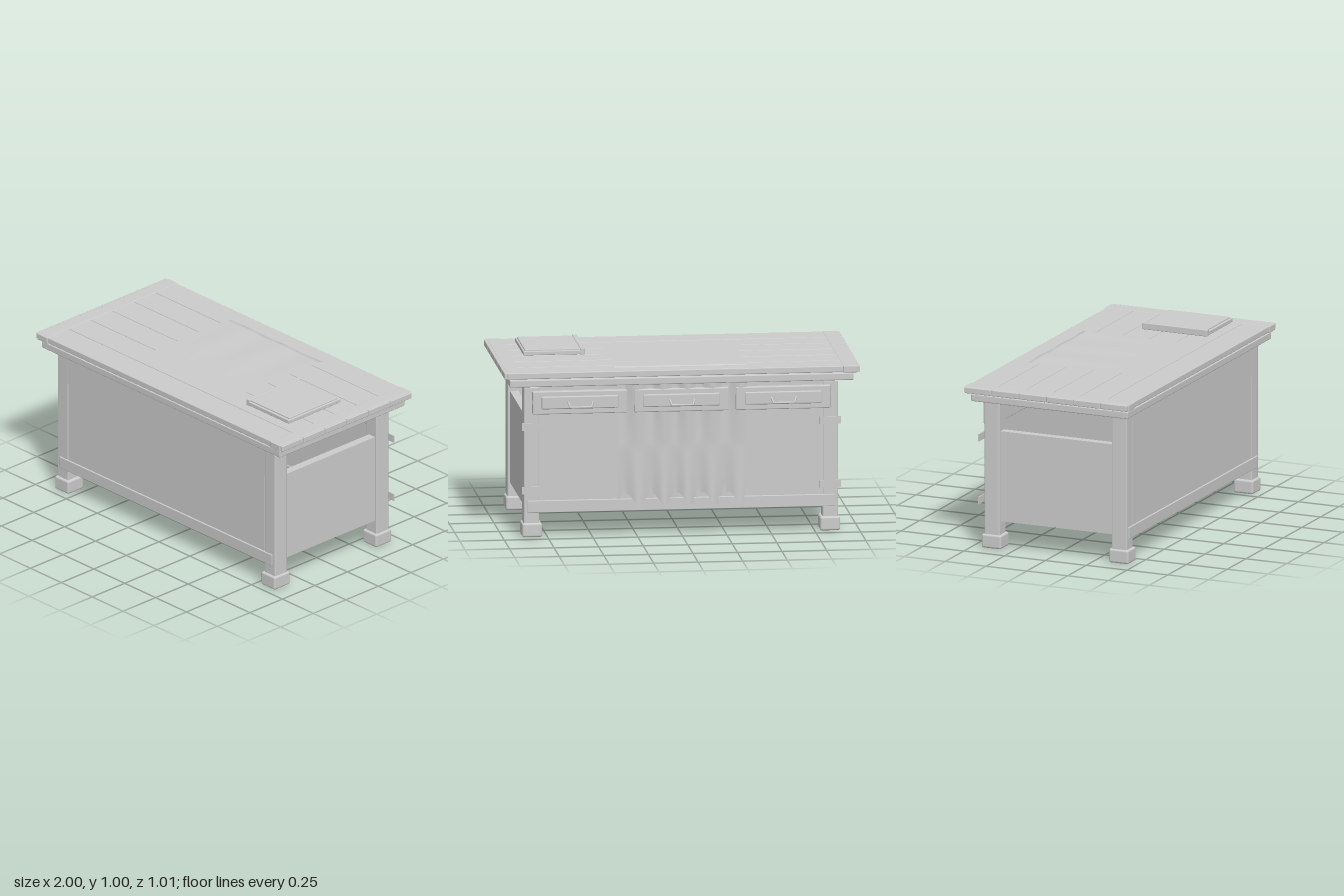
import * as THREE from 'three';
import { RoundedBoxGeometry } from 'three/addons/geometries/RoundedBoxGeometry.js';

const material = new THREE.MeshStandardMaterial({ color: 0xcccccc });
const clothMaterial = new THREE.MeshStandardMaterial({ color: 0xcccccc, side: THREE.DoubleSide });

export function createModel() {
  const model = new THREE.Group();

  const add = (name, geometry, mat = material) => {
    const mesh = new THREE.Mesh(geometry, mat);
    mesh.name = name;
    model.add(mesh);
    return mesh;
  };
  // Box given by its limits on each axis, with optional softened edges
  const box = (name, [x0, x1], [y0, y1], [z0, z1], radius = 0) => {
    const size = [x1 - x0, y1 - y0, z1 - z0];
    const geometry = radius ? new RoundedBoxGeometry(...size, 2, radius) : new THREE.BoxGeometry(...size);
    geometry.translate((x0 + x1) / 2, (y0 + y1) / 2, (z0 + z1) / 2);
    return add(name, geometry);
  };

  // Table top: six planks, end cleats and the slab below
  const plankWidth = 1 / 6;
  for (let i = 0; i < 6; i++) {
    const z = -0.5 + i * plankWidth;
    box('topPlank', [-0.998, 0.998], [0.91, 0.945], [z + 0.002, z + plankWidth - 0.002], 0.005);
  }
  for (const s of [-1, 1]) {
    box('topCleat', [s * 0.942 - 0.04, s * 0.942 + 0.04], [0.908, 0.9465], [-0.504, 0.504], 0.005);
  }
  box('topSlab', [-0.965, 0.965], [0.859, 0.9], [-0.473, 0.487], 0.006);

  // Legs, feet, bolts, side panels and hinges, mirrored left and right
  for (const s of [-1, 1]) {
    const side = (a, b) => (s > 0 ? [a, b] : [-b, -a]);
    for (const z of [0.397, -0.383]) {
      box('leg', side(0.795, 0.882), [0.07, 0.852], [z - 0.047, z + 0.047], 0.008);
      box('foot', side(0.78, 0.892), [0, 0.08], [z - 0.06, z + 0.06], 0.012);
      const bolt = add('bolt', new THREE.CylinderGeometry(0.012, 0.012, 0.012, 12));
      bolt.rotation.x = Math.PI / 2;
      bolt.position.set(s * 0.84, 0.765, z - 0.05);
    }
    box('sidePanel', side(0.82, 0.868), [0.158, 0.677], [-0.34, 0.352]);
    for (const y of [0.27, 0.632]) {
      box('hingePlate', side(0.775, 0.895), [y - 0.021, y + 0.021], [-0.461, -0.455]);
      for (const x of [0.8, 0.87]) {
        const rivet = add('hingeRivet', new THREE.CylinderGeometry(0.007, 0.007, 0.008, 10));
        rivet.rotation.x = Math.PI / 2;
        rivet.position.set(s * x, y, -0.463);
      }
    }
  }

  // Front: top rail, three boards and bottom rail
  box('frontTopRail', [-0.8, 0.8], [0.677, 0.86], [0.415, 0.444]);
  for (const i of [-1, 0, 1]) {
    box('frontBoard', [i * 0.53 - 0.263, i * 0.53 + 0.263], [0.15, 0.68], [0.415, 0.4425]);
  }
  box('frontSkin', [-0.79, 0.79], [0.15, 0.68], [0.435, 0.443]);
  box('frontBottomRail', [-0.862, 0.862], [0.138, 0.207], [0.405, 0.451], 0.004);

  // Back: panel, bottom rail and drawers
  box('backPanel', [-0.8, 0.8], [0.15, 0.86], [-0.428, -0.4]);
  box('backBottomRail', [-0.862, 0.862], [0.138, 0.207], [-0.438, -0.395], 0.004);
  for (const x of [-0.57, 0, 0.57]) {
    box('drawerFront', [x - 0.265, x + 0.265], [0.7, 0.83], [-0.458, -0.38], 0.006);
    box('drawerInset', [x - 0.215, x + 0.215], [0.73, 0.802], [-0.467, -0.44], 0.007);
    // Bent pull, sagging outward from its ends
    const points = [[-0.07, 0.774, -0.484], [-0.058, 0.746, -0.505], [0.058, 0.746, -0.505], [0.07, 0.774, -0.484]]
      .map((p) => new THREE.Vector3(p[0] + x, p[1], p[2]));
    const path = new THREE.CurvePath();
    for (let i = 0; i < 3; i++) path.add(new THREE.LineCurve3(points[i], points[i + 1]));
    add('drawerPull', new THREE.TubeGeometry(path, 36, 0.006, 8));
  }

  // Cloth: lies over the top, drops through it and hangs in folds at the back
  const cloth = new THREE.PlaneGeometry(0.74, 1, 60, 60);
  const pos = cloth.attributes.position;
  for (let i = 0; i < pos.count; i++) {
    const x = pos.getX(i);
    const t = 0.5 - pos.getY(i);
    const fold = Math.sin(x * 42 + 0.5 * Math.sin(x * 9));
    if (t <= 0.45) {
      const k = t / 0.45;
      pos.setXYZ(i, x, 0.9485 + 0.002 * Math.sin(x * 22) * k, 0.28 - 0.675 * k);
    } else {
      const k = (t - 0.45) / 0.55;
      const hem = 0.2 + 0.035 * Math.sin(x * 42 + 0.8);
      const y = 0.947 + (hem - 0.947) * k;
      const flare = 0.004 + 0.013 * Math.min(1, Math.abs(y - 0.5) / 0.33);
      const drop = Math.min(1, k / 0.07);
      pos.setXYZ(i, x * (1 - 0.04 * k), y, -0.395 - 0.046 * drop + flare * fold * drop);
    }
  }
  cloth.computeVertexNormals();
  add('cloth', cloth, clothMaterial);

  // Bound board resting above the top
  box('boardBase', [0.505, 0.845], [0.965, 0.988], [-0.095, 0.305], 0.004);
  box('boardPad', [0.52, 0.835], [0.98, 0.996], [-0.083, 0.292], 0.003);
  box('boardSpine', [0.5, 0.526], [0.962, 1], [-0.095, 0.305], 0.004);

  return model;
}
